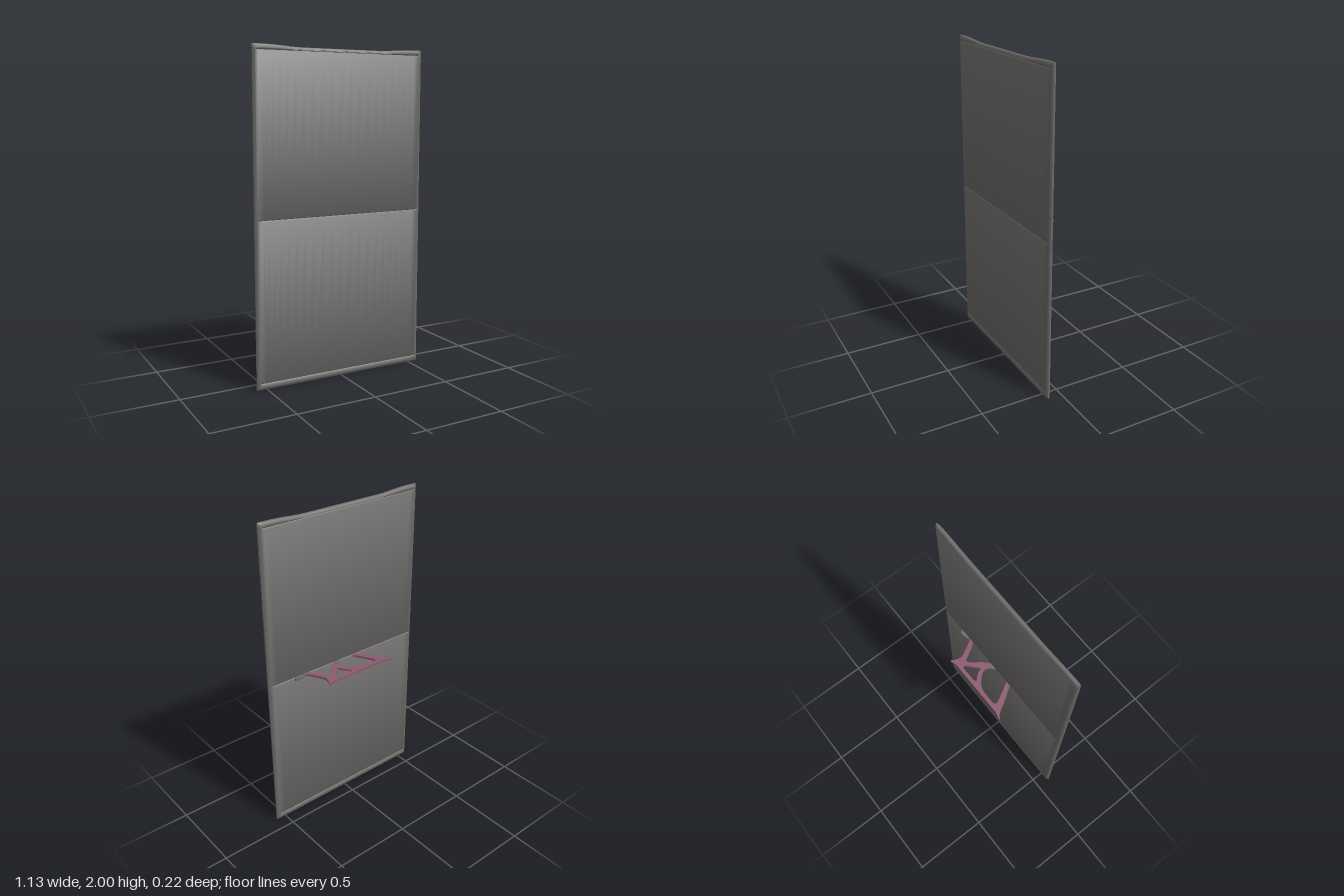
import * as THREE from 'three';
import { toCreasedNormals } from 'three/addons/utils/BufferGeometryUtils.js';

const HALF_W = 0.565, HALF_T = 0.015, PANEL_Z = 0.09;
const SEAMS = [0.04, 1.008, 1.968];

const toShape = (pts) => new THREE.Shape(pts.map(([x, y]) => new THREE.Vector2(x, y)));

// Tall slab: a side profile with shallow seams, swept along x and rounded at the ends
function panelGeometry() {
  const side = [[0.005, 0], [0.011, 0.005], [HALF_T, 0.018]];
  for (const y of SEAMS) {
    side.push([HALF_T, y - 0.006], [HALF_T - 0.005, y], [HALF_T, y + 0.006]);
  }
  side.push([HALF_T, 1.982], [0.011, 1.995], [0.005, 2]);
  const mirrored = side.map(([x, y]) => [-x, y]).reverse();
  const geo = new THREE.ExtrudeGeometry(toShape([...side, ...mirrored]), { depth: 2, steps: 28, bevelEnabled: false });
  geo.translate(0, 0, -1);

  const pos = geo.attributes.position;
  for (let i = 0; i < pos.count; i++) {
    let t = pos.getX(i), y = pos.getY(i);
    const x = HALF_W * Math.sin(pos.getZ(i) * Math.PI / 2);
    const ax = Math.abs(x);
    // seams stop short of the side edges
    if (ax > 0.545 && SEAMS.some((s) => Math.abs(y - s) < 0.001)) t = Math.sign(t) * HALF_T;
    // rounded side edges
    const e = Math.max(0, (ax - 0.545) / 0.02);
    t *= Math.max(0.3, Math.sqrt(Math.max(0, 1 - e * e)));
    // slight dip of the top edge
    if (y > 1.98) y -= 0.012 * (1 - THREE.MathUtils.smoothstep(ax, 0.25, 0.5));
    pos.setXYZ(i, t, y, x);
  }
  geo.rotateY(Math.PI / 2);
  return toCreasedNormals(geo, 0.7);
}

// Flat horizontal plate from an outline in x and z, centred on a height
function plateGeometry(outline, thickness, y, hole) {
  const shape = toShape(outline);
  if (hole) shape.holes.push(toShape(hole));
  const geo = new THREE.ExtrudeGeometry(shape, { depth: thickness, bevelEnabled: false });
  geo.rotateX(Math.PI / 2);
  geo.translate(0, y + thickness / 2, 0);
  return toCreasedNormals(geo, 0.7);
}

export function createModel() {
  const group = new THREE.Group();
  const grey = new THREE.MeshStandardMaterial({ color: 0x6d6b69 });
  grey.name = 'panelGrey';
  const mauve = new THREE.MeshStandardMaterial({ color: 0x8e5871 });
  mauve.name = 'bracketMauve';

  const add = (name, geo, mat) => {
    const mesh = new THREE.Mesh(geo, mat);
    mesh.name = name;
    group.add(mesh);
    return mesh;
  };

  add('panel', panelGeometry(), grey).position.z = PANEL_Z;

  // Bracket with three legs and an eye between the braces
  const outline = [
    [-0.23, -0.108], [-0.22, -0.111], [-0.2, -0.104], [-0.175, -0.098], [0.2, -0.098],
    [0.235, -0.102], [0.258, -0.111], [0.265, -0.106], [0.252, -0.09], [0.246, -0.07],
    [0.24, -0.045], [0.248, -0.02], [0.275, 0.03], [0.305, 0.08],
    [0.275, 0.08], [0.25, 0.045], [0.222, -0.005], [0.207, -0.03], [0.192, -0.032],
    [0.165, -0.005], [0.14, 0.03], [0.115, 0.06], [0.085, 0.08],
    [0.045, 0.08], [0.07, 0.055], [0.085, 0.03], [0.082, 0.008], [0.068, -0.015],
    [0.03, -0.05], [0.005, -0.065], [-0.03, -0.073], [-0.115, -0.074], [-0.13, -0.068],
    [-0.132, -0.05], [-0.1, 0.01], [-0.062, 0.08],
    [-0.092, 0.08], [-0.145, 0], [-0.187, -0.07], [-0.205, -0.092],
  ];
  const eye = [
    [0.054, -0.068], [0.075, -0.075], [0.175, -0.076], [0.184, -0.066], [0.176, -0.052],
    [0.14, -0.024], [0.107, 0.01], [0.095, -0.018], [0.075, -0.045],
  ];
  add('bracket', plateGeometry(outline, 0.013, 1, eye), mauve);

  // Small grey joints where the bracket meets the panel
  add('middleFoot', plateGeometry(
    [[0.04, 0.08], [0.062, 0.058], [0.082, 0.045], [0.09, 0.055], [0.084, 0.08]], 0.015, 1), grey);
  add('sideLug', plateGeometry(
    [[0.285, 0.08], [0.31, 0.067], [0.345, 0.058], [0.368, 0.056], [0.384, 0.064], [0.38, 0.08]], 0.014, 1), grey);

  return group;
}
